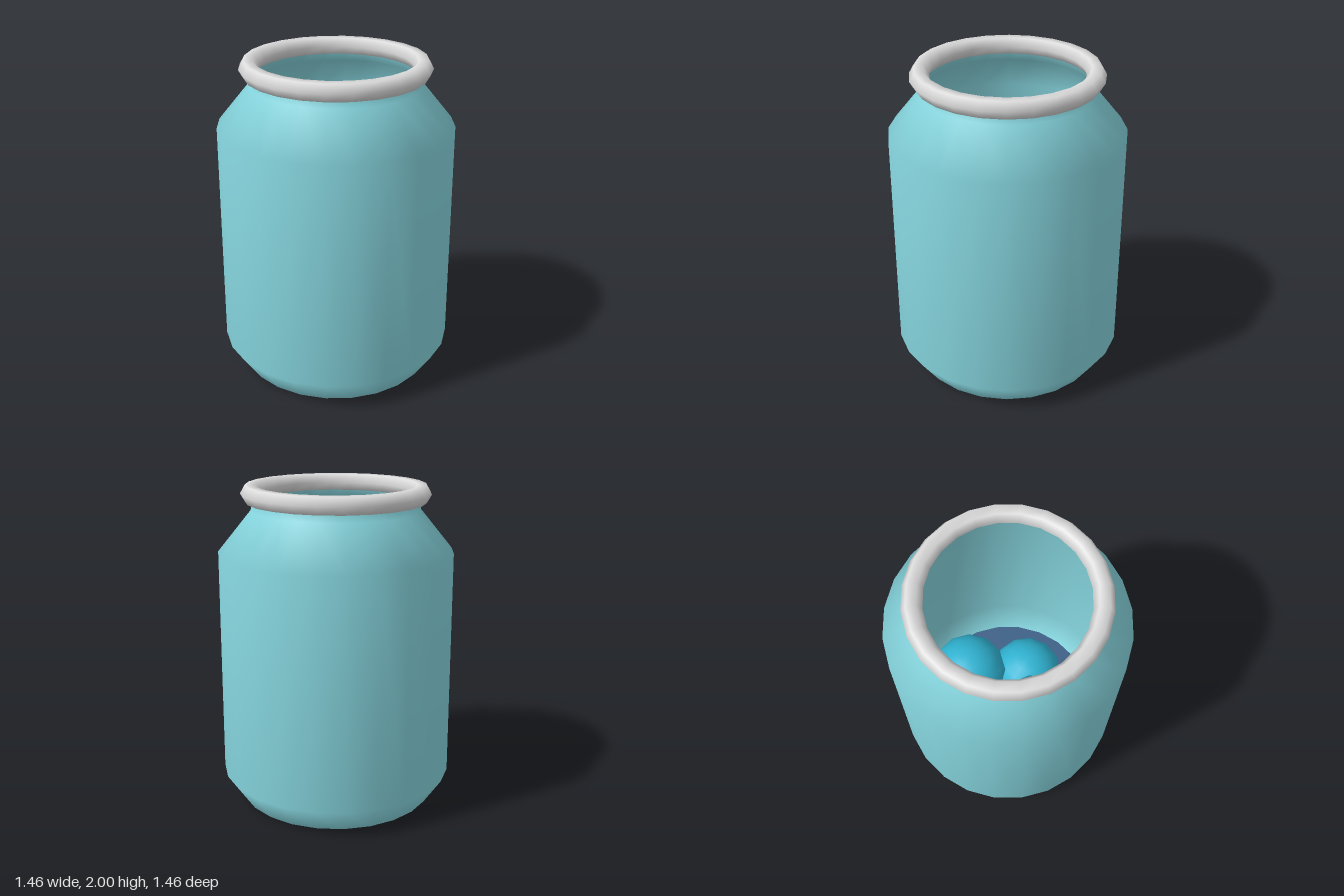
import * as THREE from 'three';

export function createModel() {
  const group = new THREE.Group();
  const mat = (name, color, side = THREE.FrontSide) => {
    const m = new THREE.MeshStandardMaterial({ color, side });
    m.name = name;
    return m;
  };
  const glass = mat('aqua glass', 0x86d5de, THREE.DoubleSide);
  const white = mat('rim white', 0xdcdcdc);
  const navy = mat('base navy', 0x3b5f86);
  const teal = mat('ball teal', 0x30b4d3);
  const gold = mat('bead gold', 0xd9a03a);

  const add = (name, geometry, material, x = 0, y = 0, z = 0) => {
    const mesh = new THREE.Mesh(geometry, material);
    mesh.name = name;
    mesh.position.set(x, y, z);
    group.add(mesh);
    return mesh;
  };

  // Open jar wall: bevelled foot, straight body, sloped shoulder, short neck
  const wall = [[0.62, 0.015], [0.73, 0.18], [0.72, 1.6], [0.515, 1.85], [0.51, 1.94]];
  add('jarWall', new THREE.LatheGeometry(wall.map(([r, y]) => new THREE.Vector2(r, y)), 24), glass);

  // Rolled rim around the mouth
  const rim = add('rim', new THREE.TorusGeometry(0.518, 0.059, 6, 24), white, 0, 1.949, 0);
  rim.rotation.x = -Math.PI / 2;

  // Thin base plate, slightly wider at its top
  add('base', new THREE.CylinderGeometry(0.62, 0.585, 0.03, 24), navy, 0, 0.015, 0);

  // Large balls: one on the base and two resting higher
  const balls = [[0, 0.275, 0.215, 0], [-0.27, 0.56, -0.06, 0.3], [0.26, 0.56, -0.095, 0.15]];
  const ballGeometry = new THREE.SphereGeometry(0.245, 12, 10);
  balls.forEach(([x, y, z, turn], i) => {
    add('ball' + (i + 1), ballGeometry, teal, x, y, z).rotation.y = turn;
  });

  // Small beads in the gaps
  const beads = [[0, -0.23], [-0.34, 0.22], [0.335, 0.2]];
  const beadGeometry = new THREE.SphereGeometry(0.05, 14, 10);
  beads.forEach(([x, z], i) => add('bead' + (i + 1), beadGeometry, gold, x, 0.08, z));

  return group;
}
